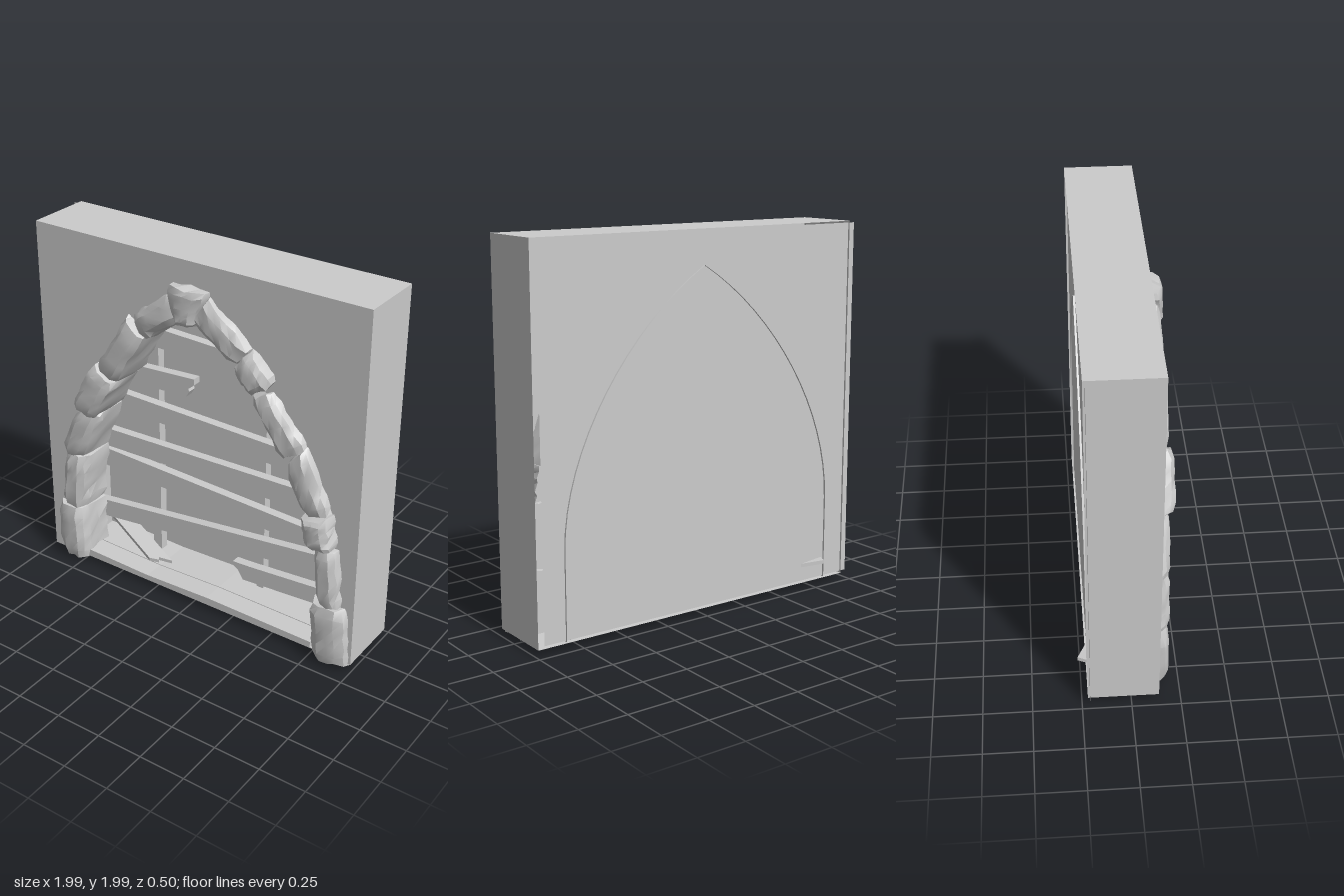
import * as THREE from 'three';
import { toCreasedNormals } from 'three/addons/utils/BufferGeometryUtils.js';

const material = new THREE.MeshStandardMaterial({ color: 0xcccccc, side: THREE.DoubleSide });

function add(parent, name, geometry) {
  const mesh = new THREE.Mesh(geometry, material);
  mesh.name = name;
  parent.add(mesh);
  return mesh;
}

// Flat outline given a thickness from z0 to z1
function slab(points, z0, z1) {
  const shape = new THREE.Shape(points.map(([x, y]) => new THREE.Vector2(x, y)));
  const g = new THREE.ExtrudeGeometry(shape, { depth: z1 - z0, bevelEnabled: false });
  return g.translate(0, 0, z0);
}

// Repeatable noise in -1..1
function noise(a, b, c, d) {
  const s = Math.sin(a * 12.99 + b * 78.23 + c * 37.72 + d * 53.17) * 43758.5453;
  return (s - Math.floor(s)) * 2 - 1;
}

// Rough hewn block between a lower edge (a-b) and an upper edge (c-d)
function stoneGeometry([a, b, c, d], front, seed) {
  const g = new THREE.BoxGeometry(1, 1, 1, 4, 6, 3);
  const p = g.attributes.position;
  const back = -0.03;
  for (let i = 0; i < p.count; i++) {
    const x = p.getX(i), y = p.getY(i), z = p.getZ(i);
    const side = Math.abs(x) > 0.49, end = Math.abs(y) > 0.49, face = z > 0.49;
    const n = (k) => noise(x * 4 + 2, y * 6 + 3, z * 3 + k, seed);
    // worn corners: narrow the ends and the front rim
    const u = x * (end ? 0.94 : 1.02) * (face && side ? 0.9 : 1) + 0.5;
    const v = y * (face && end ? 0.95 : 1) + 0.5;
    const mix = (k) => (a[k] * (1 - u) + b[k] * u) * (1 - v) + (c[k] * (1 - u) + d[k] * u) * v;
    let depth = back + (front - back) * (z + 0.5);
    if (face) depth -= (side ? 0.022 : 0) + (end ? 0.014 : 0) + 0.008 * Math.abs(n(7));
    const rough = side || end ? 0.009 : 0.004;
    p.setXYZ(i, mix(0) + rough * n(1), Math.max(0, mix(1) + rough * n(4)), depth);
  }
  return toCreasedNormals(g, 0.55);
}

function buildWall(parent) {
  const wall = new THREE.Group();
  wall.name = 'wall';
  parent.add(wall);
  const shape = new THREE.Shape();
  shape.moveTo(-0.96, 0.04).lineTo(0.99, 0.04).lineTo(0.99, 2).lineTo(-0.96, 2).closePath();
  // pointed arch opening
  const hole = new THREE.Path();
  hole.moveTo(-0.83, 0.045).lineTo(-0.83, 0.5);
  hole.bezierCurveTo(-0.83, 1.0, -0.45, 1.55, 0, 1.82);
  hole.bezierCurveTo(0.45, 1.55, 0.83, 1.0, 0.83, 0.5);
  hole.lineTo(0.83, 0.045).closePath();
  shape.holes.push(hole);
  const g = new THREE.ExtrudeGeometry(shape, { depth: 0.36, bevelEnabled: false, curveSegments: 16 });
  // leave the rear of the shell open
  const p = g.attributes.position, keep = [];
  for (let i = 0; i < p.count; i += 3) {
    if (p.getZ(i) + p.getZ(i + 1) + p.getZ(i + 2) < 1e-5) continue;
    for (let j = i; j < i + 3; j++) keep.push(p.getX(j), p.getY(j), p.getZ(j) - 0.22);
  }
  const open = new THREE.BufferGeometry();
  open.setAttribute('position', new THREE.Float32BufferAttribute(keep, 3));
  open.computeVertexNormals();
  add(wall, 'wallShell', toCreasedNormals(open, 0.5));
  // thin sheet closing the back, shifted to one side
  add(wall, 'backPanel', new THREE.PlaneGeometry(1.95, 1.94)).position.set(-0.025, 1.02, -0.21);
}

function buildArch(parent) {
  const arch = new THREE.Group();
  arch.name = 'stoneArch';
  parent.add(arch);
  // lower-left, lower-right, upper-left, upper-right corners, then front depth
  const stones = [
    [[[-0.88, 0.02], [-0.71, 0.03], [-0.9, 0.37], [-0.72, 0.36]], 0.2],
    [[[-0.86, 0.37], [-0.72, 0.37], [-0.82, 0.72], [-0.68, 0.71]], 0.2],
    [[[-0.85, 0.7], [-0.69, 0.71], [-0.71, 1.04], [-0.57, 1.0]], 0.2],
    [[[-0.74, 1.04], [-0.59, 0.98], [-0.58, 1.32], [-0.45, 1.23]], 0.23],
    [[[-0.58, 1.29], [-0.44, 1.23], [-0.37, 1.64], [-0.26, 1.53]], 0.21],
    [[[-0.34, 1.65], [-0.26, 1.53], [-0.08, 1.84], [-0.03, 1.69]], 0.2],
    [[[0.78, 0.01], [0.98, 0.03], [0.75, 0.36], [0.95, 0.37]], 0.2],
    [[[0.8, 0.37], [0.92, 0.37], [0.76, 0.7], [0.89, 0.71]], 0.21],
    [[[0.74, 0.7], [0.88, 0.71], [0.69, 0.85], [0.85, 0.89]], 0.24],
    [[[0.7, 0.85], [0.85, 0.88], [0.58, 1.1], [0.7, 1.22]], 0.21],
    [[[0.56, 1.11], [0.71, 1.19], [0.37, 1.4], [0.5, 1.46]], 0.2],
    [[[0.39, 1.41], [0.51, 1.51], [0.28, 1.53], [0.38, 1.65]], 0.22],
    [[[0.29, 1.54], [0.38, 1.65], [0.03, 1.69], [0.12, 1.85]], 0.2],
  ];
  stones.forEach(([corners, front], i) =>
    add(arch, (corners[0][0] < 0 ? 'right' : 'left') + 'ArchStone', stoneGeometry(corners, front, i + 1)));
  const key = [[-0.06, 1.67], [0.05, 1.67], [-0.11, 1.875], [0.13, 1.875]];
  add(arch, 'keystone', stoneGeometry(key, 0.215, 20));
}

function buildBoards(parent) {
  const boards = new THREE.Group();
  boards.name = 'boards';
  parent.add(boards);
  // upright posts behind the planks
  for (const [x0, x1] of [[-0.44, -0.385], [0.26, 0.3]])
    add(boards, 'post', slab([[x0, 0.06], [x1, 0.06], [x1, 1.46], [x0, 1.46]], -0.16, -0.11));
  // whole planks: left bottom, left top, right bottom, right top, half width
  const planks = [
    [1.375, 1.485, 1.36, 1.465, 0.42], [0.94, 1.04, 0.9, 1.015, 0.72],
    [0.67, 0.78, 0.71, 0.825, 0.77], [0.545, 0.655, 0.49, 0.595, 0.81],
    [0.19, 0.295, 0.375, 0.485, 0.81],
  ];
  for (const [lb, lt, rb, rt, w] of planks)
    add(boards, 'plank', slab([[-w, lb], [w, rb], [w, rt], [-w, lt]], -0.11, -0.06));
  // snapped planks with splintered ends
  add(boards, 'brokenUpperPlank', slab([[-0.6, 1.12], [-0.17, 1.14], [-0.15, 1.175], [-0.155, 1.19],
    [-0.12, 1.22], [-0.12, 1.255], [-0.6, 1.225]], -0.11, -0.06));
  add(boards, 'brokenLowerPlank', slab([[0.2, 0.13], [0.81, 0.17], [0.81, 0.275], [0.24, 0.23],
    [0.135, 0.225], [0.14, 0.2], [0.17, 0.18]], -0.11, -0.06));
  // fallen plank leaning across the sill
  const fallen = slab([[-0.29, -0.05], [0.23, -0.05], [0.27, -0.01], [0.25, 0], [0.31, 0.05], [-0.29, 0.05]], -0.01, 0.01);
  fallen.rotateX(-Math.PI / 2).rotateZ(-0.1).rotateY(-0.42);
  add(boards, 'fallenPlank', fallen).position.set(-0.55, 0.12, -0.1);
}

function buildSill(parent) {
  const sill = new THREE.Group();
  sill.name = 'sill';
  parent.add(sill);
  // two floor boards with a slight gap between them
  for (const [z0, z1, x1] of [[-0.2, 0.018, 0.8], [0.022, 0.14, 0.75]])
    add(sill, 'sillBoard', slab([[-0.76, 0.042], [x1, 0.042], [x1, 0.078], [0.1, 0.085],
      [-0.3, 0.072], [-0.76, 0.085]], z0, z1));
}

export function createModel() {
  const model = new THREE.Group();
  model.name = 'boardedArchway';
  buildWall(model);
  buildArch(model);
  buildBoards(model);
  buildSill(model);
  return model;
}
